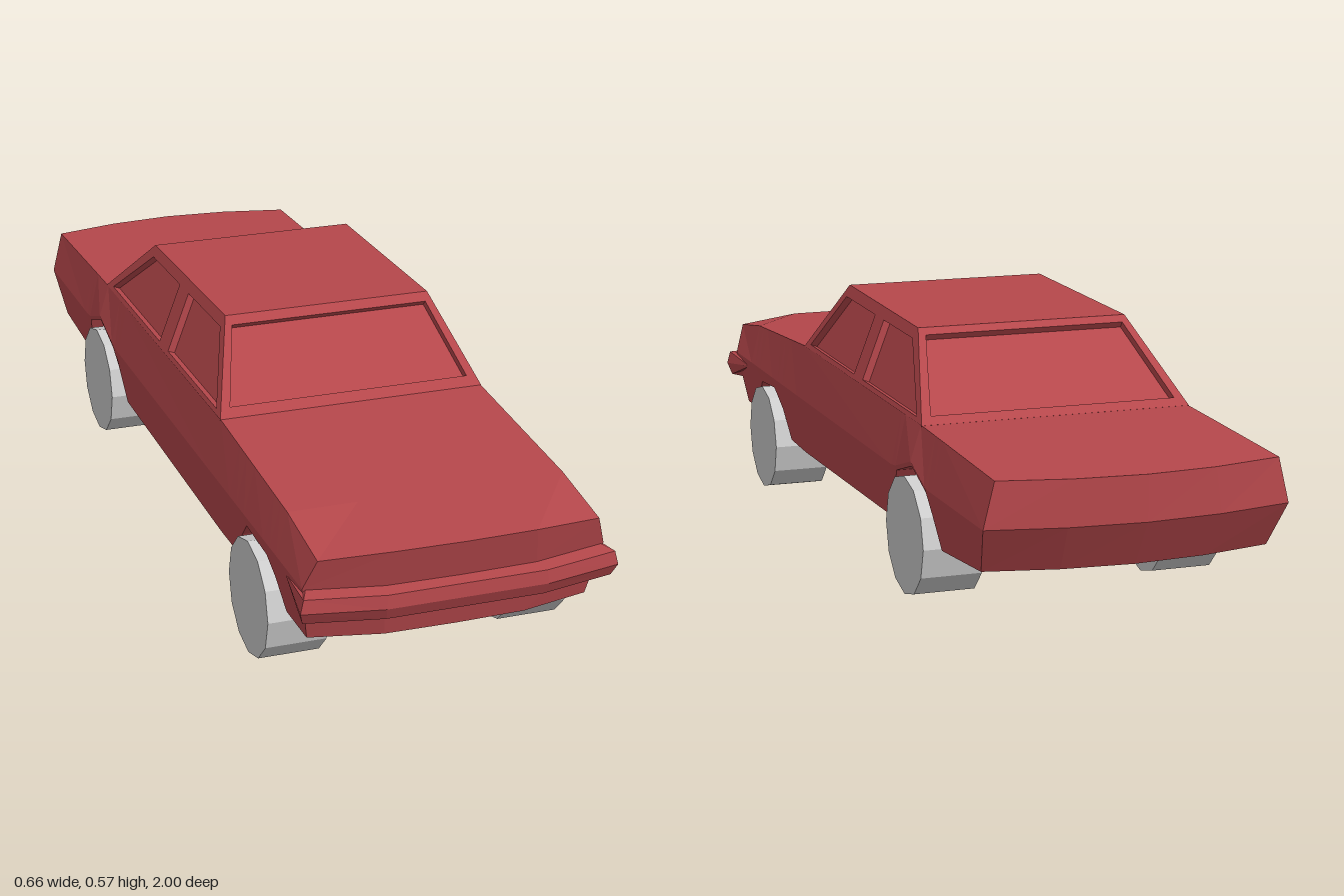
import * as THREE from 'three';

const paint = new THREE.MeshStandardMaterial({ color: 0xb5474b, flatShading: true, side: THREE.DoubleSide });
const grey = new THREE.MeshStandardMaterial({ color: 0xcccccc, flatShading: true });
const V = (x, y, z) => new THREE.Vector3(x, y, z);

// Flat-shaded surface through rows of points
function grid(rows, name, parent) {
  const pts = [];
  for (let i = 0; i + 1 < rows.length; i++) {
    for (let j = 0; j + 1 < rows[i].length; j++) {
      const a = rows[i][j], b = rows[i][j + 1], c = rows[i + 1][j + 1], d = rows[i + 1][j];
      pts.push(a, b, c, a, c, d);
    }
  }
  const geo = new THREE.BufferGeometry().setFromPoints(pts);
  geo.computeVertexNormals();
  const mesh = new THREE.Mesh(geo, paint);
  mesh.name = name;
  parent.add(mesh);
}

// Flat four-cornered panel (seen from outside: bl, br, tr, tl) with recessed windows given in (s, t) of the panel
function panel(corners, windows, name, parent) {
  const [bl, br, tr, tl] = corners;
  const U = br.clone().sub(bl).normalize();
  const N = U.clone().cross(tl.clone().sub(bl)).normalize();
  const W = N.clone().cross(U);
  const local = p => {
    const d = p.clone().sub(bl);
    return new THREE.Vector2(d.dot(U), d.dot(W));
  };
  const at = ([s, t]) => local(bl.clone().lerp(br, s).lerp(tl.clone().lerp(tr, s), t));
  const depth = 0.016;
  const group = new THREE.Group();
  group.name = name;
  const shape = new THREE.Shape(corners.map(local));
  const holes = windows.map(w => w.map(at));
  shape.holes = holes.map(h => new THREE.Path(h));
  const frame = new THREE.Mesh(new THREE.ExtrudeGeometry(shape, { depth, bevelEnabled: false }), paint);
  frame.name = name + 'Frame';
  group.add(frame);
  for (const h of holes) {
    const pane = new THREE.Mesh(new THREE.ShapeGeometry(new THREE.Shape(h)), paint);
    pane.name = name + 'Window';
    group.add(pane);
  }
  group.matrix.makeBasis(U, W, N).setPosition(bl.clone().addScaledVector(N, -depth));
  group.matrix.decompose(group.position, group.quaternion, group.scale);
  parent.add(group);
}

// Lower body: sections from nose to tail, with the wheel arches cut across the underside
function buildBody(parent) {
  const cols = [-1, -0.5, 0, 0.5, 1];
  const noseBend = [0.037, 0.003, 0, 0.003, 0.037];
  const tailBend = [-0.045, -0.012, 0, -0.012, -0.045];
  // [z, underside y]
  const under = [
    [0.78, 0.157], [0.74, 0.215], [0.70, 0.248], [0.58, 0.257], [0.53, 0.215], [0.485, 0.147], [0.36, 0.145],
    [-0.357, 0.162], [-0.383, 0.245], [-0.41, 0.284], [-0.512, 0.316], [-0.603, 0.284], [-0.625, 0.24], [-0.65, 0.173],
  ];
  const stations = [
    { z: [0.99, 0.967, 0.935], yb: 0.157, bend: noseBend, droop: 0.013 },
    ...under.map(([z, yb]) => ({ z: [z, z, z], yb })),
    { z: [-1, -1, -0.94], yb: 0.197, bend: tailBend },
  ];
  const topY = z => z > 0.36 ? 0.40 - 0.042 * (z - 0.36) / 0.63 : z < -0.51 ? 0.40 - 0.011 * (-0.51 - z) / 0.49 : 0.40;

  const layers = stations.map(({ z: [zt, zm, zb], yb, bend = [0, 0, 0, 0, 0], droop = 0 }) => {
    const ym = Math.max(0.287 - 0.008 * zm, yb + 0.01);
    const xb = 0.315 - 0.02 * Math.min(1, (ym - yb) / 0.12);
    return {
      top: cols.map((c, i) => V(0.293 * c, topY(zt) - (Math.abs(c) === 1 ? droop : 0), zt - bend[i])),
      mid: cols.map((c, i) => V(0.316 * c, ym, zm - bend[i])),
      low: cols.map((c, i) => V(xb * c, yb, zb - bend[i])),
    };
  });
  const ring = l => [...l.top, l.mid[4], ...l.low.slice().reverse(), l.mid[0], l.top[0]];
  grid(layers.map(ring), 'bodyShell', parent);
  const nose = layers[0], tail = layers[layers.length - 1];
  grid([nose.low, nose.mid, nose.top], 'nosePanel', parent);
  grid([tail.top, tail.mid, tail.low], 'tailPanel', parent);
}

// Front bumper wrapping round to pointed ends on the flanks
function buildBumper(parent) {
  const half = [[0.165, 0.998, 1], [0.325, 0.965, 1], [0.312, 0.82, 0]];
  const path = [...half.map(([x, z, h]) => [-x, z, h]).reverse(), ...half];
  const rows = path.map(([x, z, h]) => {
    const y = v => 0.263 + (v - 0.263) * h;
    const inX = x * 0.9, inZ = z - 0.07 * h;
    return [
      V(inX, y(0.28), inZ), V(x, y(0.274), z), V(x * (1 + 0.022 * h), y(0.245), z + 0.002 * h),
      V(x * 0.995, y(0.218), z - 0.012 * h), V(inX, y(0.218), inZ),
    ];
  });
  grid(rows, 'frontBumper', parent);
}

// Cabin: sloping panels with recessed windows and a flat roof
function buildCabin(parent) {
  const fb = x => V(0.294 * x, 0.40, 0.36), ft = x => V(0.23 * x, 0.567, 0.20);
  const rb = x => V(0.294 * x, 0.40, -0.52), rt = x => V(0.2327 * x, 0.56, -0.31);
  const screen = (t0, t1) => [[0.035, t0], [0.965, t0], [0.965, t1], [0.035, t1]];
  panel([fb(-1), fb(1), ft(1), ft(-1)], [screen(0.11, 0.9)], 'windscreen', parent);
  panel([rb(1), rb(-1), rt(-1), rt(1)], [screen(0.09, 0.92)], 'rearScreen', parent);
  panel([ft(-1), ft(1), rt(1), rt(-1)], [], 'roof', parent);
  const sideWindows = [
    [[0.035, 0.06], [0.443, 0.06], [0.449, 0.85], [0.054, 0.85]],
    [[0.519, 0.06], [0.963, 0.06], [0.923, 0.85], [0.563, 0.85]],
  ];
  const mirrored = sideWindows.map(w => w.map(([s, t]) => [1 - s, t]).reverse());
  panel([fb(1), rb(1), rt(1), ft(1)], sideWindows, 'leftSide', parent);
  panel([rb(-1), fb(-1), ft(-1), rt(-1)], mirrored, 'rightSide', parent);
}

// Four plain twelve-sided wheels
function buildWheels(parent) {
  const geo = new THREE.CylinderGeometry(0.125, 0.125, 0.13, 12).rotateZ(Math.PI / 2);
  for (const [axle, y, z] of [['front', 0.125, 0.635], ['rear', 0.17, -0.503]]) {
    for (const side of [1, -1]) {
      const wheel = new THREE.Mesh(geo, grey);
      wheel.name = axle + (side > 0 ? 'LeftWheel' : 'RightWheel');
      wheel.position.set(0.262 * side, y, z);
      parent.add(wheel);
    }
  }
}

export function createModel() {
  const car = new THREE.Group();
  car.name = 'car';
  for (const [name, build] of [['body', buildBody], ['bumper', buildBumper], ['cabin', buildCabin], ['wheels', buildWheels]]) {
    const part = new THREE.Group();
    part.name = name;
    build(part);
    car.add(part);
  }
  return car;
}
